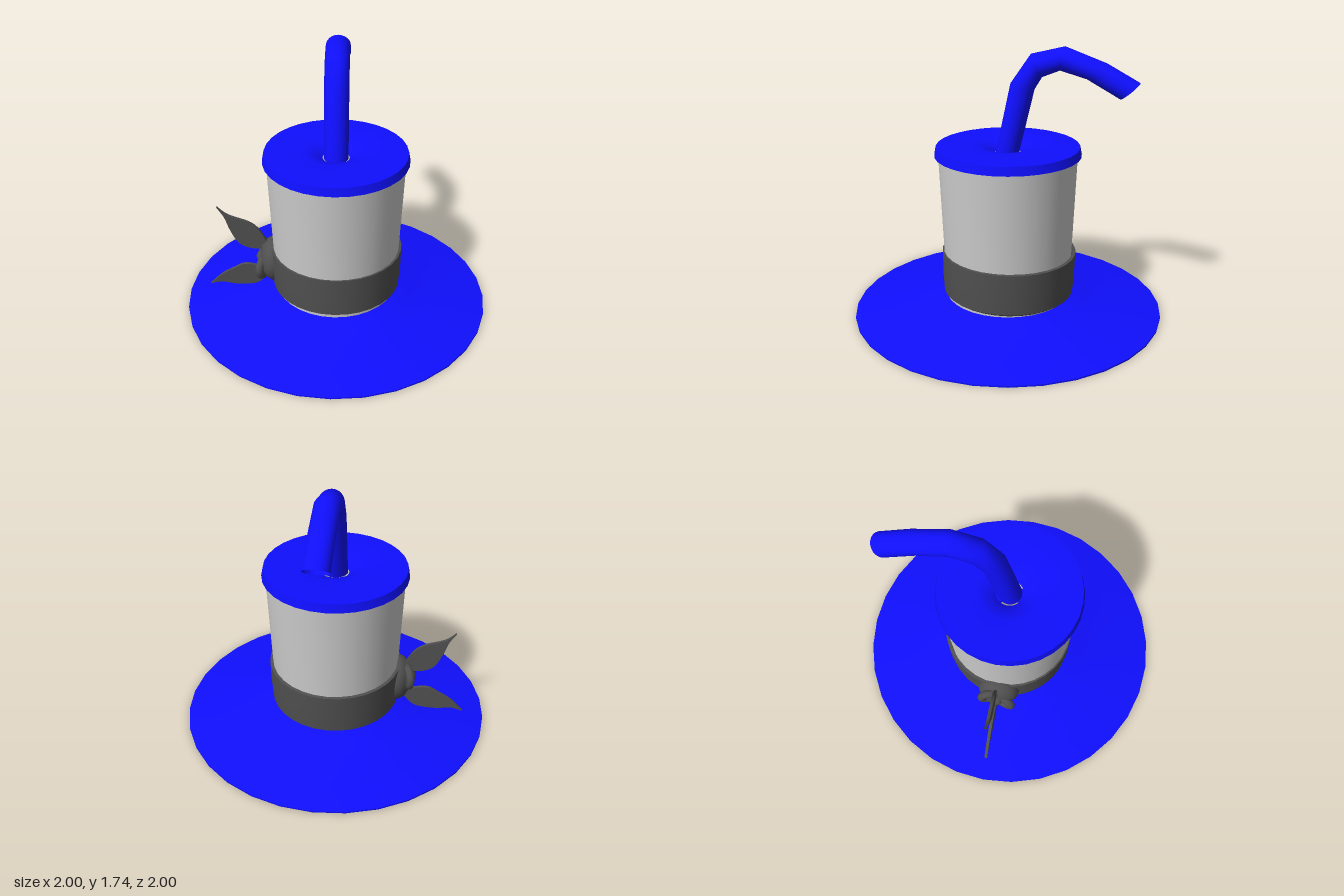
import * as THREE from 'three';
import { mergeVertices, toCreasedNormals } from 'three/addons/utils/BufferGeometryUtils.js';

const mat = (color, side = THREE.DoubleSide) => new THREE.MeshStandardMaterial({ color, side });
const blue = mat(0x0f0fff);
const grey = mat(0xcccccc);
const dark = mat(0x505050);

function add(parent, name, geometry, material) {
  const mesh = new THREE.Mesh(geometry, material);
  mesh.name = name;
  parent.add(mesh);
  return mesh;
}

const vec2 = (pts) => pts.map(([x, y]) => new THREE.Vector2(x, y));

function lathe(points, crease = 0.6) {
  return toCreasedNormals(new THREE.LatheGeometry(vec2(points), 32), crease);
}

// Bent tube whose mitred rings span matching [z, y] points on its back and belly
function bentStraw(radius) {
  const upper = [[0.077, 1.06], [-0.015, 1.5], [-0.14, 1.685], [-0.345, 1.735], [-0.6, 1.64], [-0.8, 1.53]];
  const lower = [[-0.07, 1.06], [-0.165, 1.47], [-0.21, 1.545], [-0.32, 1.59], [-0.48, 1.545], [-0.685, 1.43]];
  const rows = upper.length - 1;
  const geo = new THREE.CylinderGeometry(1, 1, 1, 24, rows, true);
  const p = geo.attributes.position;
  for (let i = 0; i < p.count; i++) {
    const row = Math.round((p.getY(i) + 0.5) * rows);
    const t = (1 + p.getZ(i)) / 2;
    const mix = (k) => THREE.MathUtils.lerp(lower[row][k], upper[row][k], t);
    p.setXYZ(i, p.getX(i) * radius, mix(1), mix(0));
  }
  geo.deleteAttribute('uv');
  geo.deleteAttribute('normal');
  const merged = mergeVertices(geo);
  merged.computeVertexNormals();
  return merged;
}

// Thin leaf-shaped ribbon end, outlined by a smooth edge either side of its tip
function ribbonTail(base, sideA, tip, sideB) {
  const shape = new THREE.Shape();
  shape.moveTo(...base);
  shape.splineThru(vec2([...sideA, tip]));
  shape.splineThru(vec2([...sideB, base]));
  const geo = new THREE.ExtrudeGeometry(shape, { depth: 0.02, bevelEnabled: false, curveSegments: 8 });
  return geo.translate(0, 0, -0.02);
}

export function createModel() {
  const model = new THREE.Group();
  model.name = 'cupHat';

  // Sloping brim with a hole underneath
  add(model, 'brim', lathe([
    [0.3, 0.085], [0.4, 0.08], [0.6, 0.045], [0.8, 0.02], [1, 0],
    [1, 0.01], [0.8, 0.04], [0.6, 0.065], [0.5, 0.085], [0.4, 0.115],
    [0.3, 0.12], [0.3, 0.085],
  ]), blue);

  // Open cup forming the crown
  add(model, 'cup', lathe([[0.4, 0.115], [0.415, 0.42], [0.44, 1.06]]), grey);

  // Lid with a dished centre and a hole for the straw
  add(model, 'lid', lathe([
    [0.44, 1.05], [0.463, 1.05], [0.452, 1.105], [0.44, 1.105],
    [0.2, 1.11], [0.13, 1.095], [0.085, 1.06],
  ], 0.5), blue);

  add(model, 'straw', bentStraw(0.077), blue);

  // Slightly tilted ribbon around the crown
  const band = add(model, 'ribbonBand', lathe([
    [0.4, 0.125], [0.422, 0.142], [0.43, 0.25], [0.432, 0.41], [0.412, 0.412],
  ]), dark);
  band.rotation.x = -0.02;

  // Ribbon knot on the side: a flattened core with curled folds
  const knot = new THREE.Group();
  knot.name = 'ribbonKnot';
  model.add(knot);
  const core = add(knot, 'knotCore', new THREE.SphereGeometry(1, 20, 14), dark);
  core.position.set(-0.41, 0.29, 0);
  core.scale.set(0.1, 0.155, 0.14);
  for (const s of [1, -1]) {
    const fold = add(knot, 'knotFold', new THREE.TorusGeometry(0.06, 0.028, 8, 20), dark);
    fold.position.set(-0.485, 0.29 - s * 0.04, s * 0.045);
    fold.rotation.set(0, Math.PI / 2 - s * 0.35, 0);
  }
  const bud = add(knot, 'knotCentre', new THREE.SphereGeometry(0.045, 14, 10), dark);
  bud.position.set(-0.49, 0.3, 0);

  // Two pointed ribbon tails
  add(model, 'upperTail', ribbonTail([-0.44, 0.37],
    [[-0.55, 0.36], [-0.645, 0.4], [-0.7, 0.5], [-0.735, 0.6]], [-0.78, 0.675],
    [[-0.71, 0.615], [-0.57, 0.56], [-0.5, 0.49]]), dark);
  add(model, 'lowerTail', ribbonTail([-0.44, 0.2],
    [[-0.53, 0.22], [-0.62, 0.23], [-0.7, 0.19], [-0.78, 0.14]], [-0.86, 0.06],
    [[-0.78, 0.08], [-0.68, 0.065], [-0.55, 0.075], [-0.48, 0.13]]), dark);

  return model;
}
